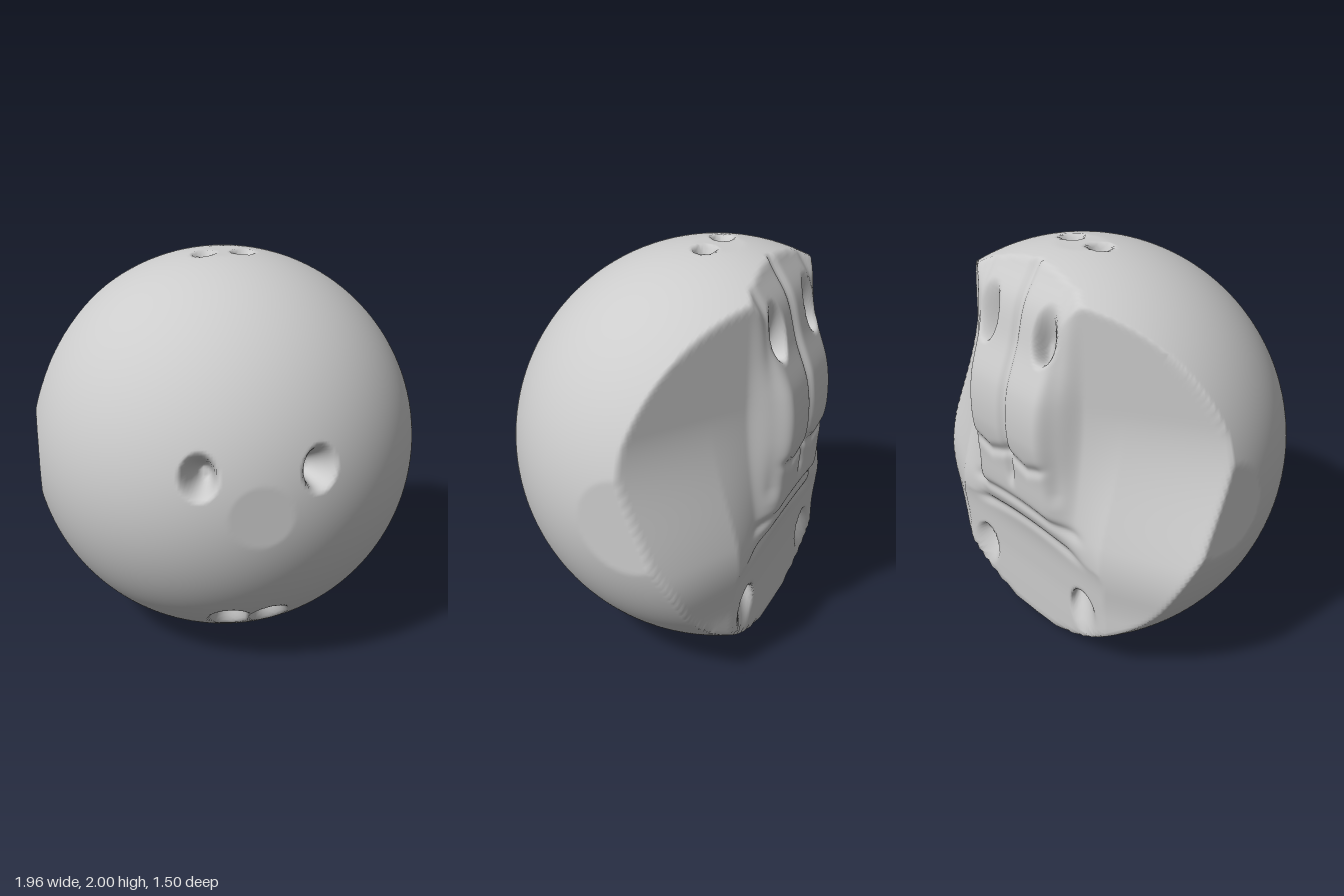
import * as THREE from 'three';
import { mergeVertices } from 'three/addons/utils/BufferGeometryUtils.js';

const { smoothstep, lerp } = THREE.MathUtils;

// depth of the face relief at the back, as a smooth curve of (z, y) from bottom to top
const PROFILE = new THREE.SplineCurve([[-0.6, 0], [-0.605, 0.2], [-0.61, 0.4], [-0.63, 0.6], [-0.7, 0.8],
  [-0.72, 1], [-0.75, 1.2], [-0.735, 1.4], [-0.665, 1.6], [-0.61, 1.8], [-0.5, 2]].map(([z, y]) => new THREE.Vector2(z, y)));
const profile = (y) => PROFILE.getPoint(THREE.MathUtils.clamp(y / 2, 0, 1)).x;

const bump = (v, centre, width) => Math.exp(-(((v - centre) / width) ** 2));

// back surface: raised centre panel, sloping cheeks above, flat base below
function backZ(x, y) {
  const a = Math.abs(x);
  const ridge = profile(y);
  const high = -0.64 + 0.62 * Math.max(0, a - 0.27);
  const low = -0.61 - 0.04 * smoothstep(y, 0.35, 0.75) + 0.45 * Math.max(0, a - 0.55);
  const cheek = lerp(low, high, smoothstep(y, 0.5, 1.4));
  let z = lerp(ridge, Math.max(cheek, ridge), smoothstep(a, 0.23, 0.39));
  const upper = smoothstep(y, 0.86, 0.96);
  z += 0.022 * bump(a, 0, 0.025) * upper;                        // centre seam
  z += 0.012 * bump(a, 0.3, 0.03) * upper;                       // panel side grooves
  const fold = y + 0.3 * a * a;
  z += (0.018 * bump(fold, 0.79, 0.03) + 0.018 * bump(fold, 0.66, 0.03)) * (1 - smoothstep(a, 0.3, 0.48));
  z += 0.016 * bump(y - 0.35 * Math.abs(a - 0.14), 1.03, 0.03) * (1 - smoothstep(a, 0.22, 0.3));
  return z;
}

// mirrored hollows: centre, radii, depth
const PITS = [
  { c: [0.28, 1.2, 0.69], r: [0.09, 0.115, 0.16], d: 0.17 },     // front pair
  { c: [0.1, 1.99, -0.22], r: [0.06, 0.1, 0.06], d: 0.1 },       // crown pair
  { c: [0.21, 1.7, -0.63], r: [0.08, 0.15, 0.16], d: 0.12 },     // upper back pair
  { c: [0.4, 0.3, -0.6], r: [0.1, 0.13, 0.12], d: 0.13 },        // lower back pair
  { c: [0.53, 0.17, -0.33], r: [0.14, 0.07, 0.1], d: 0.1 },      // lower side pair
  { c: [0.1, 0.31, 0.46], r: [0.11, 0.11, 0.17], d: 0.12 },      // lower front pair
  { c: [0.31, 0.13, 0.1], r: [0.1, 0.07, 0.13], d: 0.1 },        // small lower front pair
];

function pitDepth(p) {
  let depth = 0;
  for (const { c, r, d } of PITS) {
    const e = Math.hypot((Math.abs(p.x) - c[0]) / r[0], (p.y - c[1]) / r[1], (p.z - c[2]) / r[2]);
    depth = Math.max(depth, d * (1 - smoothstep(e, 0.3, 1.02)));
  }
  return depth;
}

// sphere with flattened poles, cut by the back surface
function inside(p) {
  const dx = p.x, dy = p.y - 1, dz = p.z + 0.25;
  return Math.hypot(dx, dy, dz) < 1.007 && Math.abs(dx) < 0.98 && Math.abs(dy) < 1
    && p.z < 0.745 && p.z > backZ(p.x, p.y);
}

export function createModel() {
  const group = new THREE.Group();
  group.name = 'roundHead';
  const lightGrey = new THREE.MeshStandardMaterial({ color: 0xcccccc });
  lightGrey.name = 'light grey';

  // cube-sphere whose vertices are pushed out to the surface
  const N = 92;
  let geo = new THREE.BoxGeometry(2, 2, 2, N, N, N);
  geo.deleteAttribute('normal');
  geo.deleteAttribute('uv');
  geo.clearGroups();
  geo = mergeVertices(geo, 1e-4);

  const origin = new THREE.Vector3(0, 1, -0.12);
  const pos = geo.attributes.position;
  const dir = new THREE.Vector3(), p = new THREE.Vector3();
  for (let i = 0; i < pos.count; i++) {
    dir.fromBufferAttribute(pos, i);
    dir.set(Math.tan(dir.x * Math.PI / 4), Math.tan(dir.y * Math.PI / 4), Math.tan(dir.z * Math.PI / 4)).normalize();
    let lo = 0.1, hi = 1.4;
    for (let k = 0; k < 20; k++) {
      const mid = (lo + hi) / 2;
      p.copy(origin).addScaledVector(dir, mid);
      if (inside(p)) lo = mid; else hi = mid;
    }
    p.copy(origin).addScaledVector(dir, lo);
    p.addScaledVector(dir, -pitDepth(p));
    pos.setXYZ(i, p.x, p.y, p.z);
  }
  geo.computeVertexNormals();

  const shell = new THREE.Mesh(geo, lightGrey);
  shell.name = 'headShell';
  group.add(shell);
  return group;
}
